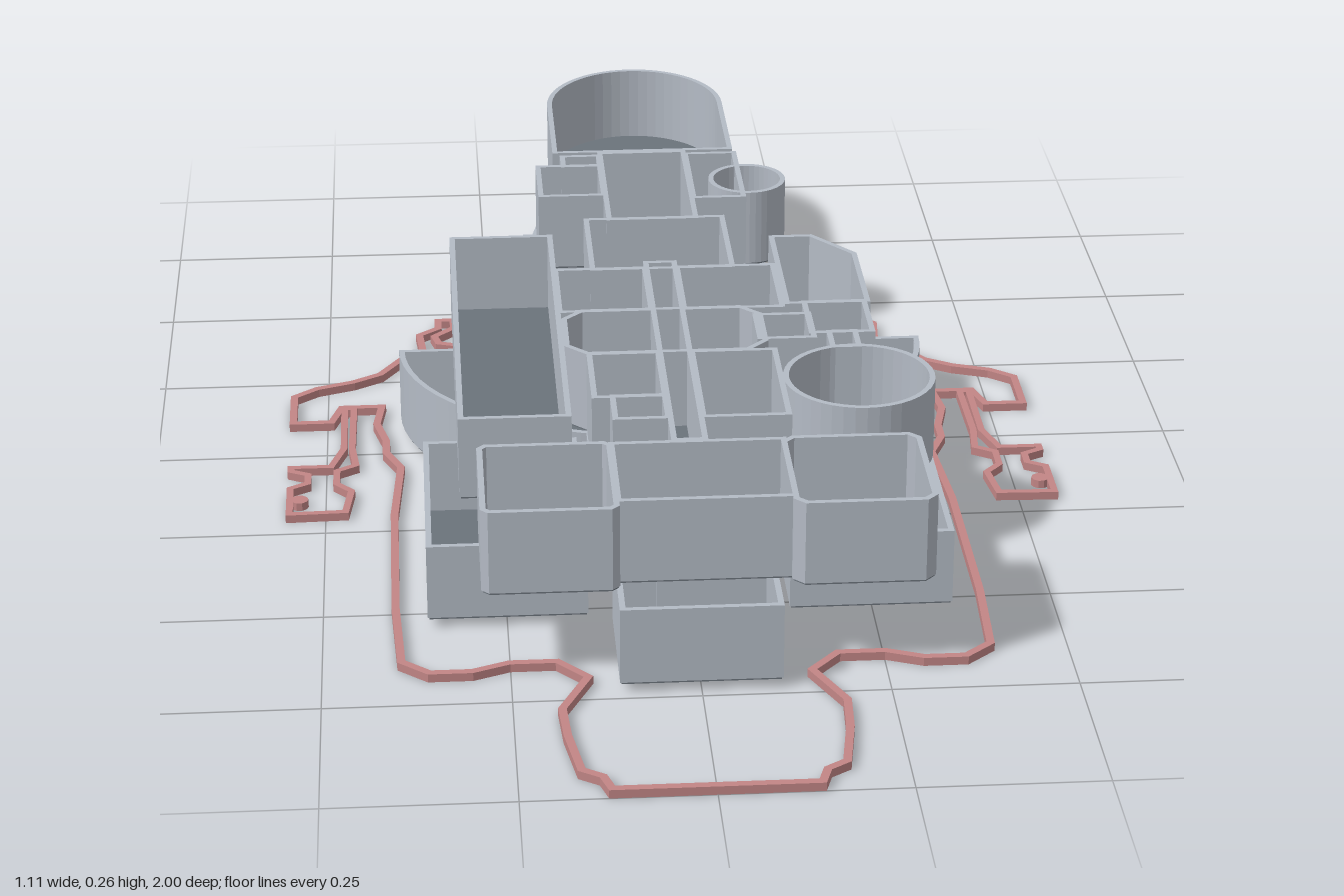
import * as THREE from 'three';

const wallMat = new THREE.MeshStandardMaterial({ name: 'wall grey', color: 0xb4bbc5 });
const floorMat = new THREE.MeshStandardMaterial({ name: 'floor grey', color: 0x6b737b });
const lineMat = new THREE.MeshStandardMaterial({ name: 'outline red', color: 0xc28686 });

// Plan helpers: every plan is a list of [x, z] points
const rect = (x0, x1, z0, z1) => [[x0, z0], [x1, z0], [x1, z1], [x0, z1]];
const cut = (x0, x1, z0, z1, c) => [
  [x0 + c, z0], [x1 - c, z0], [x1, z0 + c], [x1, z1 - c],
  [x1 - c, z1], [x0 + c, z1], [x0, z1 - c], [x0, z0 + c]];
function arc(cx, cz, rx, rz, a0, a1, n) {
  const pts = [];
  for (let i = 0; i <= n; i++) {
    const a = a0 + (a1 - a0) * i / n;
    pts.push([cx + rx * Math.cos(a), cz + rz * Math.sin(a)]);
  }
  return pts;
}
const circle = (cx, cz, r, n = 40) => arc(cx, cz, r, r, 0, Math.PI * 2, n).slice(0, -1);
const mirrorPlan = pts => pts.map(([x, z]) => [-x, z]);

// Inset a closed plan by a fixed distance with limited mitres
function inset(pts, d) {
  const n = pts.length;
  let area = 0;
  pts.forEach((p, i) => { const q = pts[(i + 1) % n]; area += p[0] * q[1] - q[0] * p[1]; });
  const s = Math.sign(area);
  const normal = (a, b) => {
    const dx = b[0] - a[0], dz = b[1] - a[1], l = Math.hypot(dx, dz);
    return [-dz / l * s, dx / l * s];
  };
  return pts.map((p, i) => {
    const a = normal(pts[(i + n - 1) % n], p), b = normal(p, pts[(i + 1) % n]);
    const k = d / Math.max(0.4, 1 + a[0] * b[0] + a[1] * b[1]);
    return [p[0] + (a[0] + b[0]) * k, p[1] + (a[1] + b[1]) * k];
  });
}

// Counter-clockwise contour, so that walls face outward and hole walls face inward
function toVec(pts) {
  const v = pts.map(([x, z]) => new THREE.Vector2(x, -z));
  return THREE.ShapeUtils.isClockWise(v) ? v.reverse() : v;
}

// Extrude a plan between two heights, optionally hollowed to a thin wall
function extrude(name, pts, y0, y1, mat, thickness = 0) {
  const shape = new THREE.Shape(toVec(pts));
  if (thickness) shape.holes.push(new THREE.Path(toVec(inset(pts, thickness)).reverse()));
  const geo = new THREE.ExtrudeGeometry(shape, { depth: y1 - y0, bevelEnabled: false });
  geo.rotateX(-Math.PI / 2);
  const mesh = new THREE.Mesh(geo, mat);
  mesh.position.y = y0;
  mesh.name = name;
  return mesh;
}

// A room is a floor slab with a thin wall around it
function deck(name, rooms, y0, y1) {
  const g = new THREE.Group();
  g.name = name;
  for (const [label, pts] of Object.entries(rooms)) {
    const room = new THREE.Group();
    room.name = label;
    room.add(extrude(label + 'Floor', inset(pts, 0.002), y0, y0 + 0.005, floorMat));
    room.add(extrude(label + 'Wall', pts, y0 + 0.003, y1, wallMat, 0.008));
    g.add(room);
  }
  return g;
}

export function createModel() {
  const model = new THREE.Group();
  model.name = 'deckPlan';
  const PI = Math.PI;

  // Lower deck
  model.add(deck('lowerDeck', {
    noseRoom: [[-0.072, -0.965], [0.072, -0.965], [0.09, -0.955], [0.097, -0.935], [0.1, -0.73],
      [-0.1, -0.73], [-0.097, -0.935], [-0.09, -0.955]],
    foreHold: [[-0.13, -0.75], [0.13, -0.75], [0.175, -0.53], [-0.175, -0.53]],
    foreLeftCabin: rect(0.06, 0.185, -0.53, -0.34),
    foreRightCabin: rect(-0.19, -0.06, -0.53, -0.34),
    foreCorridor: rect(-0.065, 0.065, -0.53, -0.27),
    roundHall: circle(0, -0.145, 0.15),
    fanHall: arc(0, -0.1, 0.39, 0.32, 0, PI, 36),
    midRoom: rect(-0.125, 0.115, 0.2, 0.45),
    aftCorridor: rect(-0.05, 0.045, 0.44, 0.58),
    aftLeftHold: rect(0.135, 0.358, 0.215, 0.54),
    aftRightHold: rect(-0.358, -0.14, 0.215, 0.54),
    leftLink: rect(0.1, 0.15, 0.34, 0.44),
    rightLink: rect(-0.15, -0.11, 0.34, 0.44),
    tailRoom: rect(-0.108, 0.108, 0.56, 0.735),
  }, 0.012, 0.123));

  // Upper deck
  model.add(deck('upperDeck', {
    bowHall: [...arc(0.002, -0.75, 0.143, 0.16, PI, 2 * PI, 28), [0.145, -0.54], [-0.141, -0.54]],
    foreCorridor: rect(-0.07, 0.07, -0.54, -0.26),
    foreRightCabin: rect(-0.17, -0.065, -0.49, -0.36),
    foreRightLocker: rect(-0.13, -0.065, -0.53, -0.48),
    foreLeftCabin: rect(0.065, 0.15, -0.53, -0.34),
    foreTurret: circle(0.157, -0.415, 0.06),
    centreHall: rect(-0.105, 0.11, -0.27, -0.07),
    longHold: rect(-0.31, -0.155, -0.21, 0.425),
    sideGallery: [[0.17, -0.185], [0.235, -0.185], [0.295, -0.11], [0.295, 0.07], [0.17, 0.07]],
    centreRightCabin: rect(-0.16, -0.02, -0.08, 0.08),
    centreLeftCabin: rect(0.02, 0.17, -0.08, 0.08),
    centreCorridor: rect(-0.025, 0.025, -0.1, 0.51),
    sideCabin: rect(0.195, 0.29, 0.06, 0.175),
    sideLink: rect(0.22, 0.265, 0.165, 0.225),
    wardRoom: cut(-0.155, 0.135, 0.07, 0.225, 0.03),
    leftPassage: rect(0.12, 0.205, 0.1, 0.19),
    rightMess: rect(-0.125, -0.02, 0.22, 0.37),
    leftMess: rect(0.02, 0.145, 0.22, 0.44),
    rightBunk: rect(-0.1, -0.02, 0.36, 0.44),
    turretRoom: circle(0.25, 0.32, 0.106),
    aftRightRoom: cut(-0.287, -0.105, 0.505, 0.707, 0.01),
    aftMiddleRoom: rect(-0.11, 0.13, 0.508, 0.685),
    aftLeftRoom: cut(0.122, 0.312, 0.505, 0.707, 0.015),
  }, 0.136, 0.257));

  // Hull outline: one half, mirrored into a closed band
  const half = [
    [0.012, -0.998], [0.085, -0.968], [0.125, -0.9], [0.145, -0.83], [0.172, -0.76], [0.19, -0.66],
    [0.235, -0.51], [0.275, -0.385], [0.295, -0.36], [0.325, -0.37], [0.33, -0.39],
    [0.3, -0.42], [0.3, -0.458], [0.335, -0.458], [0.335, -0.425], [0.365, -0.4],
    [0.36, -0.34], [0.385, -0.325], [0.425, -0.26], [0.465, -0.235], [0.52, -0.215], [0.557, -0.185],
    [0.557, -0.085], [0.49, -0.085], [0.475, -0.135], [0.425, -0.135], [0.432, -0.08],
    [0.418, -0.02], [0.418, 0.02], [0.397, 0.07], [0.407, 0.22], [0.407, 0.5], [0.4, 0.655],
    [0.36, 0.69], [0.3, 0.69], [0.25, 0.67], [0.19, 0.67], [0.155, 0.71], [0.192, 0.79],
    [0.188, 0.86], [0.174, 0.95], [0.147, 0.968], [0.137, 1]];
  model.add(extrude('hullOutline', [...half, ...mirrorPlan(half).reverse()], 0, 0.012, lineMat, 0.011));

  // Side pod outlines, each with a small knob
  const pod = [
    [0.456, -0.14], [0.48, -0.14], [0.48, 0], [0.497, 0.055], [0.557, 0.055], [0.557, 0.075],
    [0.532, 0.088], [0.532, 0.11], [0.557, 0.125], [0.557, 0.215], [0.467, 0.212],
    [0.458, 0.14], [0.48, 0.115], [0.48, 0.078], [0.452, 0.06], [0.458, 0]];
  const knob = circle(0.538, 0.165, 0.013, 10);
  for (const [side, flip] of [['left', p => p], ['right', mirrorPlan]]) {
    model.add(extrude(side + 'PodOutline', flip(pod), 0, 0.012, lineMat, 0.01));
    model.add(extrude(side + 'PodKnob', flip(knob), 0, 0.012, lineMat));
  }

  return model;
}
